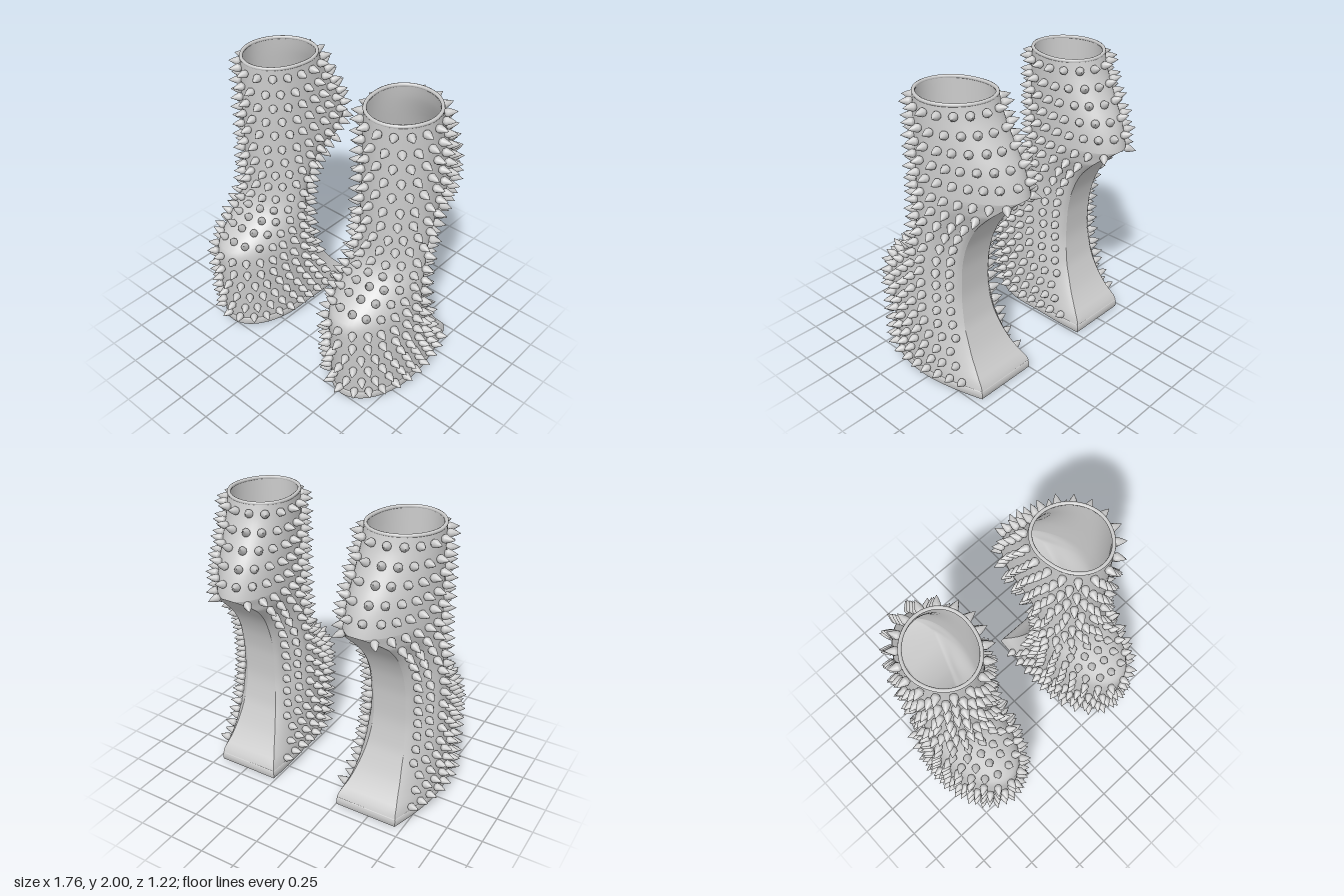
import * as THREE from 'three';
import { mergeGeometries, mergeVertices, toCreasedNormals } from 'three/addons/utils/BufferGeometryUtils.js';

const SOLE = 0.07, HEEL = 1.43, TOP = 1.988;
const grey = new THREE.MeshStandardMaterial({ color: 0xcccccc });

// Smooth monotone curve through [y, value] points
function curve(pts) {
  const s = pts.slice(1).map((p, i) => (p[1] - pts[i][1]) / (p[0] - pts[i][0]));
  const m = pts.map((p, i) => {
    if (i === 0) return s[0];
    if (i === s.length) return s[i - 1];
    return s[i - 1] * s[i] <= 0 ? 0 : 2 * s[i - 1] * s[i] / (s[i - 1] + s[i]);
  });
  return (y) => {
    let i = 0;
    while (i < s.length - 1 && y > pts[i + 1][0]) i++;
    const [y0, a] = pts[i], [y1, b] = pts[i + 1], h = y1 - y0;
    const t = THREE.MathUtils.clamp((y - y0) / h, 0, 1), t2 = t * t, t3 = t2 * t;
    return a * (2 * t3 - 3 * t2 + 1) + b * (3 * t2 - 2 * t3) + h * (m[i] * (t3 - 2 * t2 + t) + m[i + 1] * (t3 - t2));
  };
}

// Boot profile by height
const halfWidth = curve([[0, 0.27], [0.5, 0.268], [0.8, 0.26], [1.1, 0.245], [1.5, 0.243], [2, 0.232]]);
const midZ = curve([[0, 0.08], [0.6, 0.06], [1, 0], [1.43, -0.08], [2, -0.06]]);
const frontZ = curve([[0, 0.505], [0.3, 0.53], [0.62, 0.545], [0.68, 0.525], [0.74, 0.46], [0.8, 0.39], [0.87, 0.31], [0.94, 0.25], [1.02, 0.222], [1.15, 0.212], [2, 0.212]]);
const calfZ = curve([[1.43, -0.56], [1.5, -0.54], [1.6, -0.5], [1.7, -0.44], [1.8, -0.38], [1.9, -0.33], [2, -0.3]]);
const archZ = curve([[0, -0.43], [0.07, -0.43], [0.17, -0.36], [0.25, -0.305], [0.35, -0.255], [0.47, -0.21], [0.68, -0.18], [0.85, -0.187], [1, -0.215], [1.1, -0.252], [1.2, -0.31], [1.3, -0.4], [1.38, -0.49], [1.43, -0.56]]);
const archHalf = curve([[0, 0.225], [0.07, 0.222], [0.2, 0.18], [0.4, 0.14], [0.7, 0.115], [1.1, 0.12], [1.3, 0.14], [1.43, 0.16]]);
const waist = curve([[0.1, 0], [0.5, 0.015], [0.85, 0.04], [1.1, 0.04], [1.4, 0]]);
const flat = (y) => (y >= HEEL ? 0 : archHalf(y) * Math.sqrt(Math.min(1, (HEEL - y) / 0.1)));
const backZ = (y) => (y >= HEEL ? calfZ(y) : archZ(y));

// The shaft leans inward and the back bends inward
function place(x, y, z) {
  const bend = z < 0 ? 0.14 * z * z / (0.1 - z) : 0;
  return new THREE.Vector3(x - 0.008 * y - bend, y, z);
}

// Outline point: u = 0 at the front, +-1 at the back corners
function outline(u, y, inset = 1) {
  const a = Math.abs(u), w = halfWidth(y), zc = midZ(y);
  let x, z;
  if (a < 0.5) {
    const t = Math.PI / 2 * (1 - 2 * a);
    x = w * Math.cos(t);
    z = (frontZ(y) - zc) * Math.sin(t);
  } else {
    const k = 2 * a - 1, T = Math.acos(flat(y) / w), t = k * T;
    x = w * Math.cos(t) - waist(y) * Math.sin(Math.PI * k) ** 2;
    z = (backZ(y) - zc) * Math.sin(t) / Math.sin(T);
  }
  return place(Math.sign(u) * x * inset, y, zc + z * inset);
}
const inner = (u, y) => outline(u, y, 0.93);

// Surface of (u, y), facing outward when u runs to the right
function surface(fn, us, ys) {
  const pos = [], idx = [], n = us.length;
  for (const y of ys) for (const u of us) pos.push(...fn(u, y).toArray());
  for (let j = 0; j < ys.length - 1; j++) for (let i = 0; i < n - 1; i++) {
    const a = j * n + i, c = a + n;
    idx.push(a, a + 1, c, a + 1, c + 1, c);
  }
  const g = new THREE.BufferGeometry();
  g.setAttribute('position', new THREE.Float32BufferAttribute(pos, 3));
  g.setIndex(idx);
  const merged = mergeVertices(g, 1e-5);
  merged.computeVertexNormals();
  return merged;
}

const range = (a, b, n) => Array.from({ length: n + 1 }, (_, i) => a + (b - a) * i / n);
const archYs = [...range(SOLE, 1.3, 36), ...range(1.32, 1.41, 6), 1.418, 1.424, 1.428, HEEL];
const allYs = [...archYs, ...range(HEEL, TOP, 14).slice(1)];
const around = range(-1, 1, 56);

// Rows of studs set along the surface normals
function studs() {
  const stud = new THREE.LatheGeometry(
    [[0.016, -0.006], [0.026, 0.01], [0.028, 0.02], [0.017, 0.048], [0, 0.08]].map(([r, h]) => new THREE.Vector2(r, h)), 10);
  const rows = [0.1, 0.2, 0.31, 0.42, 0.53, 0.64, 0.74, 0.81, 0.87, 0.93, 1.01, 1.11, 1.2, 1.3, 1.41, 1.52, 1.62, 1.72, 1.82, 1.93];
  const up = new THREE.Vector3(0, 1, 0), one = new THREE.Vector3(1, 1, 1), e = 0.004, out = [];
  rows.forEach((front, j) => {
    const back = j < 14 ? 0.1 + 0.0936 * j : front;
    const at = (u) => outline(u, THREE.MathUtils.lerp(front, back, Math.min(1, Math.abs(u) * 1.5)));
    const path = range(-1, 1, 200), len = [0];
    path.forEach((u, i) => { if (i) len.push(len[i - 1] + at(u).distanceTo(at(path[i - 1]))); });
    // Keep clear of the arch edge, most of all above the heel
    const margin = front < 0.35 ? 0.09 : front < 1.35 ? 0.03 : 0;
    const span = len[200] - 2 * margin, n = Math.round(span / 0.092);
    for (let k = 0; k < n; k++) {
      const i = len.findIndex((l) => l >= margin + span * (k + 0.5) / n);
      const u = path[i], p = at(u);
      const du = outline(u + e, p.y).sub(outline(u - e, p.y));
      const dy = outline(u, p.y + e).sub(outline(u, p.y - e));
      const q = new THREE.Quaternion().setFromUnitVectors(up, du.cross(dy).normalize());
      out.push(stud.clone().applyMatrix4(new THREE.Matrix4().compose(p, q, one)));
    }
  });
  return mergeGeometries(out);
}

// Flat sole with softened edges
function sole() {
  const b = 0.018;
  const shape = new THREE.Shape(around.map((u) => {
    const p = outline(u, SOLE);
    return new THREE.Vector2(p.x, -p.z);
  }));
  const g = new THREE.ExtrudeGeometry(shape, { depth: SOLE - 2 * b, bevelThickness: b, bevelSize: b, bevelOffset: -b + 0.002, bevelSegments: 4 });
  g.rotateX(-Math.PI / 2).translate(0, b, 0);
  return toCreasedNormals(g, 0.6);
}

// Rounded lip around the opening
function rim() {
  const pts = around.slice(0, -1).map((u) => outline(u, TOP, 0.965));
  return new THREE.TubeGeometry(new THREE.CatmullRomCurve3(pts, true), 64, 0.012, 8, true);
}

export function createModel() {
  const model = new THREE.Group();
  const parts = {
    shaft: surface(outline, around, allYs),
    heelArch: surface((s, y) => place(s * flat(y), y, backZ(y)), range(1, -1, 6), archYs),
    lining: surface(inner, [...around, -1].reverse(), allYs),
    sole: sole(),
    rim: rim(),
    studs: studs(),
  };
  // The right boot mirrors the left
  for (const side of [1, -1]) {
    const boot = new THREE.Group();
    boot.name = side > 0 ? 'leftBoot' : 'rightBoot';
    for (const [name, geometry] of Object.entries(parts)) {
      const mesh = new THREE.Mesh(geometry, grey);
      mesh.name = name;
      boot.add(mesh);
    }
    boot.position.x = side * 0.532;
    boot.scale.x = side;
    model.add(boot);
  }
  return model;
}
